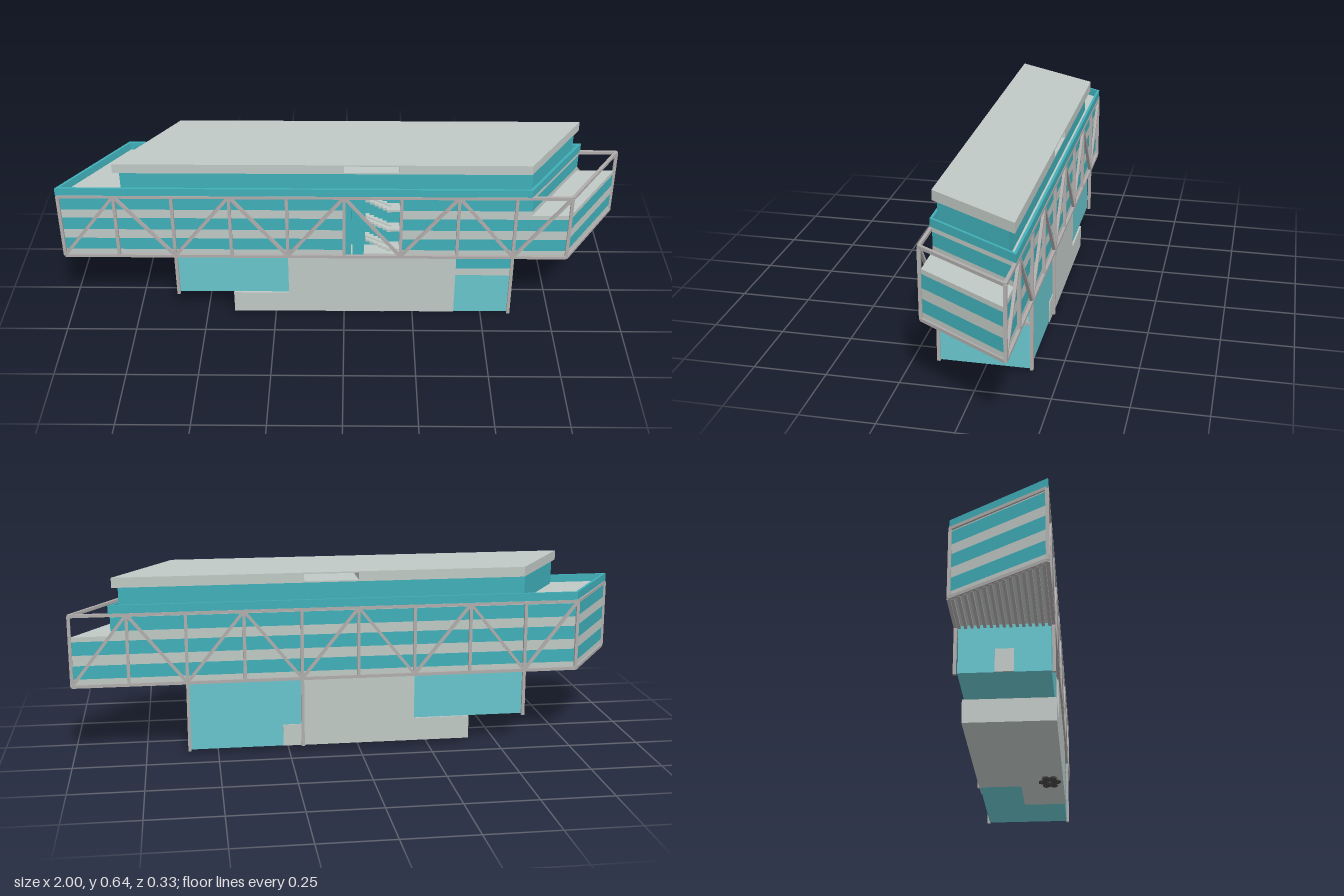
import * as THREE from 'three';

const SKEW = 0.656; // plan is a parallelogram: x = u - SKEW * z
const mat = (color) => new THREE.MeshStandardMaterial({ color, flatShading: true });
const TEAL = mat(0x40aeb8), LIGHT = mat(0x68c4cc), GREY = mat(0xbfc8c4), STEEL = mat(0xb0acac), DARK = mat(0x444444);

export function createModel() {
  const model = new THREE.Group();
  const group = (name) => {
    const g = new THREE.Group();
    g.name = name;
    model.add(g);
    return g;
  };
  const add = (parent, name, geometry, material) => {
    const m = new THREE.Mesh(geometry, material);
    m.name = name;
    parent.add(m);
    return m;
  };

  // Box from min/max extents
  const box = (parent, name, material, x0, x1, y0, y1, z0, z1) => {
    const g = new THREE.BoxGeometry(x1 - x0, y1 - y0, z1 - z0);
    g.translate((x0 + x1) / 2, (y0 + y1) / 2, (z0 + z1) / 2);
    return add(parent, name, g, material);
  };

  // Box whose four plan corners are x at the back and x at the front
  const prism = (parent, name, material, back, front, y0, y1, z0, z1) => {
    const g = new THREE.BoxGeometry(1, y1 - y0, z1 - z0);
    g.translate(0, (y0 + y1) / 2, (z0 + z1) / 2);
    const p = g.attributes.position;
    const zMid = (z0 + z1) / 2;
    for (let i = 0; i < p.count; i++) {
      const ends = p.getZ(i) > zMid ? front : back;
      p.setX(i, p.getX(i) > 0 ? ends[1] : ends[0]);
    }
    g.computeVertexNormals();
    return add(parent, name, g, material);
  };

  // Prism with both ends on the building's slant
  const skewBox = (parent, name, material, u0, u1, y0, y1, z0, z1) =>
    prism(parent, name, material, [u0 - SKEW * z0, u1 - SKEW * z0], [u0 - SKEW * z1, u1 - SKEW * z1], y0, y1, z0, z1);

  // Square bar between two points
  const bar = (parent, name, a, b, t = 0.011, material = STEEL) => {
    const from = new THREE.Vector3(...a), to = new THREE.Vector3(...b);
    const m = add(parent, name, new THREE.BoxGeometry(t, t, from.distanceTo(to)), material);
    m.position.copy(from).add(to).multiplyScalar(0.5);
    m.lookAt(to);
    return m;
  };

  // Striped main storey, with a stair recess in the front
  const storey = group('mainStorey');
  const layers = [
    [0.268, 0.288, GREY], [0.288, 0.335, TEAL], [0.335, 0.372, GREY], [0.372, 0.42, TEAL],
    [0.42, 0.437, GREY], [0.437, 0.455, GREY], [0.455, 0.503, TEAL], [0.503, 0.518, GREY],
  ];
  for (const [y0, y1, m] of layers) {
    const end = y0 < 0.437 ? 0.89 : 0.755;
    const name = m === TEAL ? 'windowBand' : 'wallBand';
    skewBox(storey, name, m, -0.89, end, y0, y1, -0.152, 0.09);
    prism(storey, name, m, [-0.89 - SKEW * 0.09, 0], [-0.89 - SKEW * 0.152, 0], y0, y1, 0.09, 0.152);
    prism(storey, name, m, [0.2, end - SKEW * 0.09], [0.2, end - SKEW * 0.152], y0, y1, 0.09, 0.152);
  }

  // Ribs under the floor
  const ribs = group('floorRibs');
  for (let z = -0.145; z < 0.15; z += 0.0207) {
    skewBox(ribs, 'floorRib', STEEL, -0.89, 0.89, 0.257, 0.268, z - 0.005, z + 0.005);
  }

  // Parapet around the upper terrace
  const parapet = group('parapet');
  skewBox(parapet, 'frontParapet', TEAL, -0.893, 0.755, 0.515, 0.546, 0.152, 0.161);
  skewBox(parapet, 'backParapet', TEAL, -0.893, 0.755, 0.515, 0.546, -0.161, -0.152);
  skewBox(parapet, 'leftEndParapet', TEAL, -0.893, -0.882, 0.515, 0.546, -0.152, 0.152);
  skewBox(parapet, 'rightEndParapet', TEAL, 0.744, 0.755, 0.515, 0.546, -0.152, 0.152);

  // Upper storey
  skewBox(model, 'upperStorey', TEAL, -0.685, 0.738, 0.515, 0.606, -0.132, 0.135);

  // Roof slab with a slot running through it
  const roof = group('roof');
  const zr = 0.154, left = -0.692, right = 0.744;
  skewBox(roof, 'roofTop', GREY, left, right, 0.635, 0.64, -zr, zr);
  skewBox(roof, 'roofBottom', GREY, left, right, 0.605, 0.61, -zr, zr);
  prism(roof, 'roofLeft', GREY, [left + SKEW * zr, 0], [left - SKEW * zr, 0], 0.61, 0.635, -zr, zr);
  prism(roof, 'roofRight', GREY, [0.19, right + SKEW * zr], [0.19, right - SKEW * zr], 0.61, 0.635, -zr, zr);

  // Stairwell in the front recess
  const stairs = group('stairwell');
  box(stairs, 'stairBackWall', TEAL, 0, 0.2, 0.268, 0.518, 0.088, 0.094);
  box(stairs, 'stairFloor', GREY, 0, 0.2, 0.262, 0.272, 0.09, 0.152);
  box(stairs, 'narrowShaft', TEAL, 0, 0.025, 0.268, 0.605, 0.09, 0.153);
  box(stairs, 'wideShaft', TEAL, 0.03, 0.07, 0.268, 0.605, 0.09, 0.153);
  for (const y of [0.285, 0.367, 0.45]) {
    for (let i = 0; i < 6; i++) {
      const x = 0.165 - i * 0.015;
      box(stairs, 'stairStep', GREY, x - 0.015, x, y + i * 0.008 - 0.006, y + i * 0.008 + 0.004, 0.1, 0.145);
    }
    bar(stairs, 'stairHandrail', [0.165, y + 0.02, 0.145], [0.075, y + 0.06, 0.145], 0.005, GREY);
    box(stairs, 'stairLanding', GREY, 0.165, 0.195, y - 0.004, y + 0.004, 0.1, 0.145);
  }

  // Trusses on both long sides; the back is the front turned half round
  const bottomY = 0.264, topY = 0.512;
  const nodes = [-0.993, -0.8, -0.6, -0.4, -0.2, 0, 0.2, 0.4, 0.6, 0.79];
  for (const s of [1, -1]) {
    const truss = group(s > 0 ? 'frontTruss' : 'backTruss');
    const z = s * 0.157;
    bar(truss, 'topChord', [s * nodes[0], topY, z], [s * nodes[9], topY, z]);
    bar(truss, 'bottomChord', [s * nodes[0], bottomY, z], [s * nodes[9], bottomY, z]);
    nodes.forEach((n, i) => {
      bar(truss, 'post', [s * n, bottomY, z], [s * n, topY, z]);
      if (i === 9) return;
      const ends = i % 2 ? [topY, bottomY] : [bottomY, topY];
      bar(truss, 'diagonal', [s * n, ends[0], z], [s * nodes[i + 1], ends[1], z], 0.01);
    });
    bar(truss, 'leftLeg', [-0.6, 0.095, z], [-0.6, bottomY, z]);
    bar(truss, 'rightLeg', [0.6, 0.013, z], [0.6, bottomY, z]);
    if (s < 0) bar(truss, 'middleLeg', [0.2, 0.015, z], [0.2, bottomY, z]);
  }

  // Beams and rails across the slanted ends
  const ends = group('endBeams');
  for (const s of [1, -1]) {
    for (const y of [bottomY, topY]) {
      bar(ends, 'endBeam', [s * 0.79, y, s * 0.157], [s * 0.993, y, -s * 0.157]);
    }
  }

  // Ground floor
  const ground = group('groundFloor');
  box(ground, 'frontWall', GREY, -0.2, 0.4, 0.017, 0.268, 0, 0.156);
  box(ground, 'backWall', GREY, -0.2, 0.2, 0.017, 0.268, -0.156, 0);
  box(ground, 'lowWall', GREY, -0.4, -0.2, 0.017, 0.1, -0.156, 0.156);
  box(ground, 'leftGlazing', LIGHT, -0.6, -0.2, 0.1, 0.268, -0.149, 0.149);
  box(ground, 'leftDoor', GREY, -0.605, -0.6, 0.1, 0.18, -0.03, 0.03);
  for (const [y0, y1, m] of [[0.017, 0.18, LIGHT], [0.18, 0.21, GREY], [0.21, 0.268, TEAL]]) {
    box(ground, 'rightGlazing', m, 0.4, 0.6, y0, y1, 0, 0.153);
    box(ground, 'rightGlazing', m, 0.2, 0.6, y0, y1, -0.145, 0);
  }
  box(ground, 'backGlazing', LIGHT, 0.2, 0.6, 0.017, 0.268, -0.152, -0.145);
  box(ground, 'backDoor', GREY, 0.205, 0.27, 0.017, 0.095, -0.155, -0.152);
  bar(ground, 'rightBeam', [0.6, 0.182, -0.157], [0.6, 0.182, 0.157]);

  // Rough dark footing under the ground floor
  const footing = group('footing');
  for (let i = 0; i < 12; i++) {
    const a = (i / 12) * Math.PI * 2, r = i % 2 ? 1 : 0.6;
    const stone = add(footing, 'footingStone', new THREE.IcosahedronGeometry(0.015, 0), DARK);
    stone.scale.y = 0.55;
    stone.position.set(0.14 + Math.cos(a) * r * 0.043, 0.009, 0.108 + Math.sin(a) * r * 0.028);
    stone.rotation.y = i;
  }

  return model;
}
